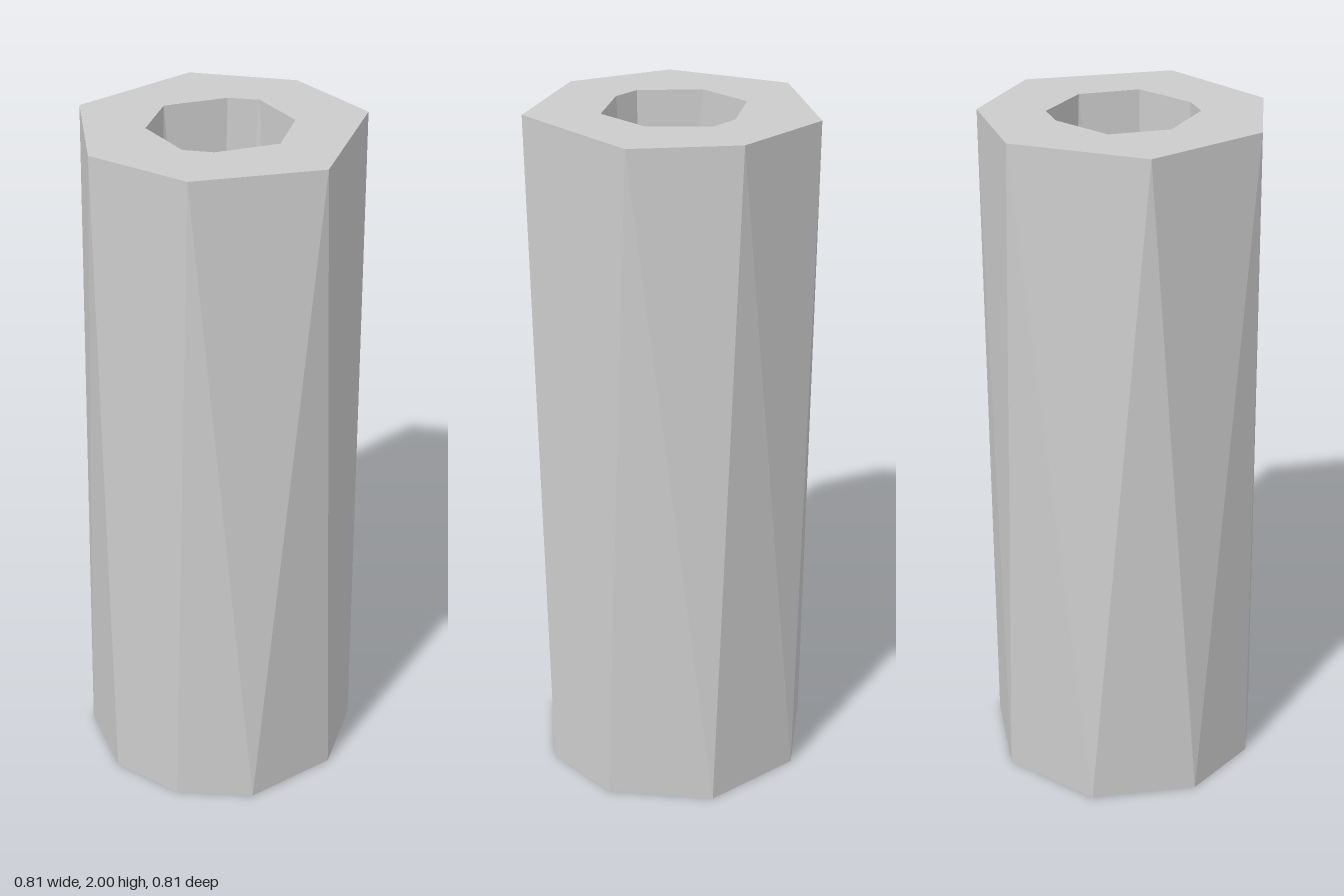
import * as THREE from 'three';

const HEIGHT = 2;

// Cross-sections as [x, z], all running the same way round (from +x towards +z)
const outerTop = [[0.393, -0.13], [0.302, 0.29], [-0.05, 0.402], [-0.325, 0.252], [-0.402, -0.11], [-0.127, -0.398], [0.185, -0.36]];
const outerBottom = [[0.403, -0.05], [0.35, 0.2], [0.13, 0.388], [-0.1, 0.39], [-0.295, 0.277], [-0.405, 0.047], [-0.324, -0.255], [-0.05, -0.406], [0.252, -0.325]];
const innerTop = [[0.197, -0.05], [0.168, 0.124], [0, 0.2], [-0.085, 0.191], [-0.2, 0.045], [-0.17, -0.126], [0, -0.203], [0.09, -0.195]];
const innerBottom = [[0.168, 0.137], [-0.085, 0.19], [-0.215, -0.036], [-0.042, -0.22], [0.167, -0.128]];

const material = new THREE.MeshStandardMaterial({ color: 0xcccccc, flatShading: true });

// Edges of a loop that starts at its largest x, keyed by their direction
function edges(loop, isTop) {
  return loop.map((p, i) => {
    const q = loop[(i + 1) % loop.length];
    const angle = Math.atan2(q[1] - p[1], q[0] - p[0]) - Math.PI / 2;
    return { q, isTop, key: (angle + 4 * Math.PI) % (2 * Math.PI) };
  });
}

// Wall of triangles between two loops with different side counts
function wall(name, bottom, top, inward) {
  const positions = [];
  let b = bottom[0], t = top[0];
  const steps = [...edges(bottom, false), ...edges(top, true)].sort((m, n) => m.key - n.key);
  for (const { q, isTop } of steps) {
    const triangle = [[b[0], 0, b[1]], [t[0], HEIGHT, t[1]], [q[0], isTop ? HEIGHT : 0, q[1]]];
    if (inward) triangle.reverse();
    positions.push(...triangle.flat());
    if (isTop) t = q; else b = q;
  }
  const geometry = new THREE.BufferGeometry();
  geometry.setAttribute('position', new THREE.Float32BufferAttribute(positions, 3));
  geometry.computeVertexNormals();
  const mesh = new THREE.Mesh(geometry, material);
  mesh.name = name;
  return mesh;
}

// Flat ring facing up (side 1) or down (side -1)
function cap(name, outer, inner, y, side) {
  const points = loop => loop.map(([x, z]) => new THREE.Vector2(x, -side * z));
  const shape = new THREE.Shape(points(outer));
  shape.holes.push(new THREE.Path(points(inner)));
  const geometry = new THREE.ShapeGeometry(shape).rotateX(-side * Math.PI / 2).translate(0, y, 0);
  const mesh = new THREE.Mesh(geometry, material);
  mesh.name = name;
  return mesh;
}

export function createModel() {
  const tube = new THREE.Group();
  tube.name = 'facetedTube';
  tube.add(
    wall('outerWall', outerBottom, outerTop, false),
    wall('boreWall', innerBottom, innerTop, true),
    cap('topRim', outerTop, innerTop, HEIGHT, 1),
    cap('bottomRim', outerBottom, innerBottom, 0, -1),
  );
  return tube;
}
